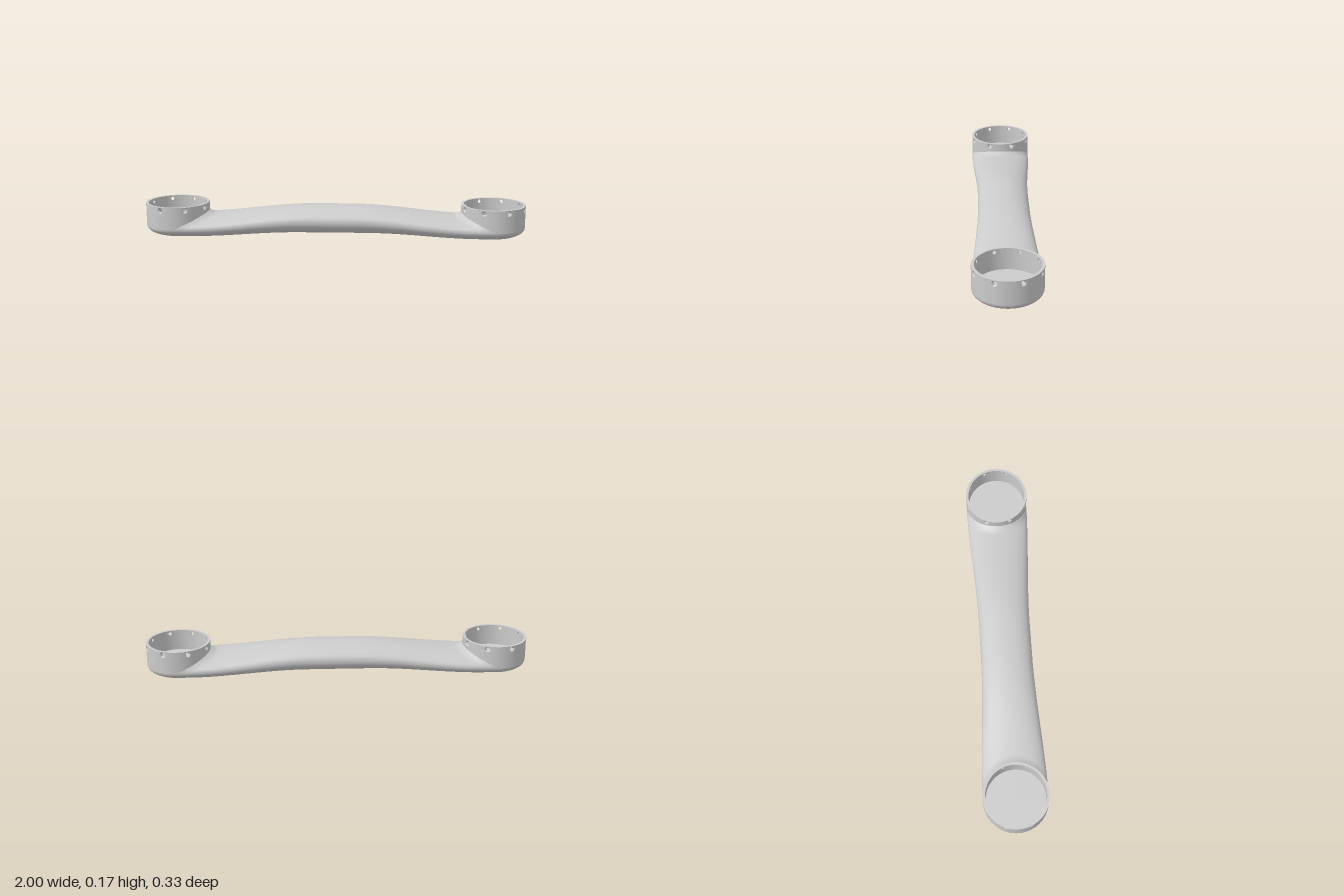
import * as THREE from 'three';
import { mergeGeometries, toCreasedNormals } from 'three/addons/utils/BufferGeometryUtils.js';

const CUP_X = 0.833, R = 0.167, R_IN = 0.153;          // cup centre and wall radii
const TOP = 0.175, BAND = 0.141, FLOOR = 0.065;        // rim top, foot of the bolt band, inner floor
const HOLE_Y = 0.158, HOLES = 8, HALF = 0.131;         // bolt holes; half angle of one hole panel
const POWER = 2.1;                                     // roundness of the tube section

const smooth = THREE.MathUtils.smoothstep;
const topY = (x) => 0.165 - 0.052 * smooth(Math.abs(x), 0.1, 0.74);
const bottomY = (x) => 0.021 - 0.021 * smooth(Math.abs(x), 0.2, 0.75);
const halfWidth = (x) => 0.135 + 0.032 * smooth(Math.abs(x), 0.1, CUP_X);
const bulge = (c) => Math.sign(c) * Math.abs(c) ** (2 / POWER);

// Geometry from a grid of points; columns wrap around
function loopGrid(rows, cols, point) {
  const pos = [], index = [];
  for (let i = 0; i < rows; i++) {
    for (let j = 0; j < cols; j++) {
      pos.push(...point(i, j));
      if (i === rows - 1) continue;
      const k = (j + 1) % cols;
      const a = i * cols + j, b = (i + 1) * cols + j, c = (i + 1) * cols + k, d = i * cols + k;
      index.push(a, b, c, a, c, d);
    }
  }
  const g = new THREE.BufferGeometry();
  g.setAttribute('position', new THREE.Float32BufferAttribute(pos, 3));
  g.setIndex(index);
  g.computeVertexNormals();
  return g;
}

// Curved tube: lower lines run to the cup centre, upper lines stop at the cup wall
function tubeGeometry() {
  const rows = 81, cols = 64;
  return loopGrid(rows, cols, (i, j) => {
    const angle = (j / cols) * Math.PI * 2;
    const c = bulge(Math.cos(angle)), s = bulge(Math.sin(angle));
    const upper = Math.sin(angle) > 1e-6;
    const reach = upper ? CUP_X - Math.sqrt(Math.max(0, 0.163 ** 2 - (0.163 * c) ** 2)) : CUP_X;
    const t = (i / (rows - 1)) * 2 - 1;
    const x = t * reach;
    const mid = (topY(x) + bottomY(x)) / 2, half = (topY(x) - bottomY(x)) / 2;
    // small fillet where the top meets the cup
    const fillet = upper ? 0.018 * s * smooth(Math.abs(t), 0.93, 1) ** 2 : 0;
    return [x, mid + half * s + fillet, halfWidth(x) * c];
  });
}

function lathe(points, segments, start = 0, length = Math.PI * 2) {
  return new THREE.LatheGeometry(points.map(([r, y]) => new THREE.Vector2(r, y)), segments, start, length);
}

// Curved wall panel pierced by a countersunk bolt hole
function holePanel(phi) {
  const cols = 32;
  const rings = [[0, R], [0.0145, R], [0.0095, 0.161], [0.0095, R_IN], [0, R_IN]];
  const g = loopGrid(rings.length, cols, (i, j) => {
    const a = (j / cols) * Math.PI * 2, c = Math.cos(a), s = Math.sin(a);
    const [hole, r] = rings[i];
    const m = Math.max(Math.abs(c), Math.abs(s));
    const turn = hole ? (hole * c) / R : (HALF * c) / m;
    const rise = hole ? hole * s : ((TOP - HOLE_Y) * s) / m;
    return [r * Math.sin(phi + turn), HOLE_Y + rise, r * Math.cos(phi + turn)];
  });
  // wind the faces outward
  const ix = g.index.array;
  for (let i = 0; i < ix.length; i += 3) [ix[i + 1], ix[i + 2]] = [ix[i + 2], ix[i + 1]];
  g.computeVertexNormals();
  return g;
}

function creased(list) {
  const plain = list.map((g) => {
    g.deleteAttribute('uv');
    return g.index ? g.toNonIndexed() : g;
  });
  return toCreasedNormals(mergeGeometries(plain), 0.6);
}

// Rounded outer half of the cup underside, matching the tube section
function bowlGeometry() {
  const profile = [];
  const mid = (topY(CUP_X) + bottomY(CUP_X)) / 2, half = mid - bottomY(CUP_X);
  for (let i = 0; i <= 16; i++) {
    const a = (i / 16) * Math.PI / 2;
    profile.push([R * bulge(Math.sin(a)), mid - half * bulge(Math.cos(a))]);
  }
  return lathe(profile, 40, 0, Math.PI);
}

function rimGeometry() {
  const parts = [], step = (Math.PI * 2) / HOLES;
  const wall = [[R, BAND], [R, TOP], [R_IN, TOP], [R_IN, BAND]];
  for (let i = 0; i < HOLES; i++) {
    const phi = (i + 0.5) * step;
    parts.push(holePanel(phi));
    parts.push(lathe([[R, TOP], [R_IN, TOP]], 4, phi - HALF, 2 * HALF));
    parts.push(lathe(wall, 8, phi + HALF, step - 2 * HALF));
  }
  return creased(parts);
}

export function createModel() {
  const model = new THREE.Group();
  model.name = 'armLink';
  const material = new THREE.MeshStandardMaterial({ color: 0xcccccc });
  const add = (parent, name, geometry) => {
    const mesh = new THREE.Mesh(geometry, material);
    mesh.name = name;
    parent.add(mesh);
  };

  add(model, 'tube', tubeGeometry());

  // End cups
  const mid = (topY(CUP_X) + bottomY(CUP_X)) / 2;
  const geometries = {
    cupBowl: bowlGeometry(),
    cupOuterWall: lathe([[R, mid], [R, BAND]], 80),
    cupInside: creased([lathe([[R_IN, BAND], [R_IN, FLOOR], [0, FLOOR]], 80)]),
    boltRim: rimGeometry(),
  };
  for (const side of [1, -1]) {
    const cup = new THREE.Group();
    cup.name = side > 0 ? 'leftCup' : 'rightCup';
    cup.position.x = side * CUP_X;
    cup.rotation.y = side > 0 ? 0 : Math.PI;
    for (const [name, geometry] of Object.entries(geometries)) add(cup, name, geometry);
    model.add(cup);
  }
  return model;
}
